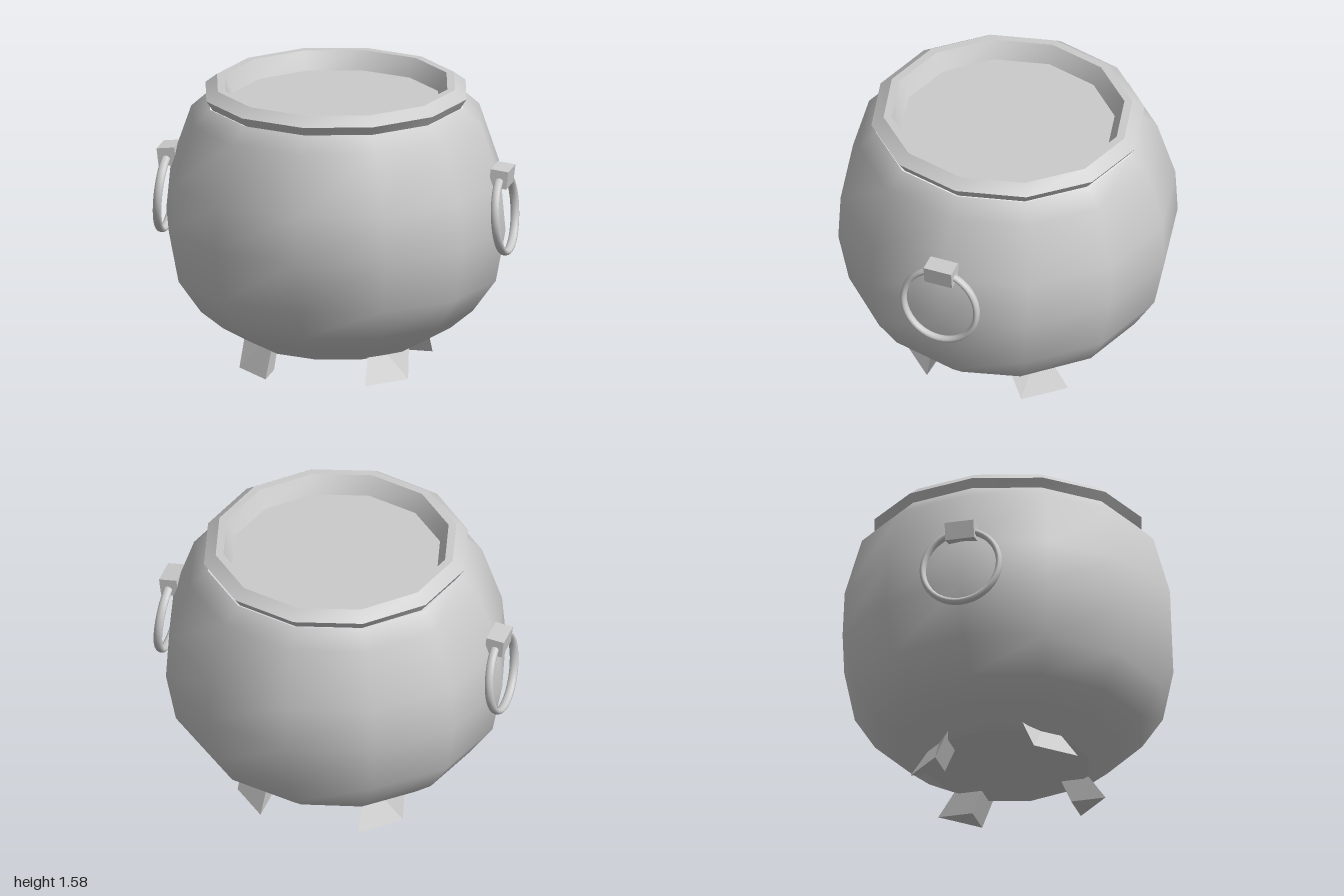
import * as THREE from 'three';
import { toCreasedNormals } from 'three/addons/utils/BufferGeometryUtils.js';

const SIDES = 12;

// Lofts elliptical rings [rx, rz, y], listed bottom to top on the outside
function loft(rings) {
  const pos = [], index = [];
  rings.forEach(([rx, rz, y], r) => {
    for (let i = 0; i < SIDES; i++) {
      const a = (i / SIDES) * Math.PI * 2;
      pos.push(rx * Math.sin(a), y, rz * Math.cos(a));
      if (r === 0) continue;
      const j = (i + 1) % SIDES, lo = (r - 1) * SIDES, hi = r * SIDES;
      index.push(lo + i, lo + j, hi + j, lo + i, hi + j, hi + i);
    }
  });
  const g = new THREE.BufferGeometry();
  g.setAttribute('position', new THREE.Float32BufferAttribute(pos, 3));
  g.setIndex(index);
  g.computeVertexNormals();
  return g;
}

// Flat twelve-sided ellipse facing up or down
function disc(rx, rz, y, up) {
  const g = new THREE.CircleGeometry(1, SIDES);
  g.rotateX(up ? -Math.PI / 2 : Math.PI / 2);
  return g.scale(rx, 1, rz).translate(0, y, 0);
}

// Splayed three-sided foot; sx and sz choose the corner
function legGeometry(sx, sz) {
  const tri = (x0, x1, z0, z1, y) => [[x0, y, z0], [x1, y, z0], [x0, y, z1]];
  const p = [...tri(0.28, 0.475, 0.28, 0.475, 0), ...tri(0.265, 0.455, 0.17, 0.3, 0.25)]
    .map(([x, y, z]) => [x * sx, y, z * sz]);
  const faces = [[0, 1, 2], [3, 5, 4]];
  for (let i = 0; i < 3; i++) {
    const j = (i + 1) % 3;
    faces.push([i, i + 3, j + 3], [i, j + 3, j]);
  }
  const pos = [];
  for (const f of faces) {
    const order = sx * sz > 0 ? f : [f[0], f[2], f[1]];
    order.forEach((k) => pos.push(...p[k]));
  }
  const g = new THREE.BufferGeometry();
  g.setAttribute('position', new THREE.Float32BufferAttribute(pos, 3));
  g.computeVertexNormals();
  return g;
}

export function createModel() {
  const model = new THREE.Group();
  const material = new THREE.MeshStandardMaterial({ color: 0xcccccc });
  const add = (name, geometry, parent = model) => {
    const mesh = new THREE.Mesh(geometry, material);
    mesh.name = name;
    parent.add(mesh);
    return mesh;
  };

  // Rounded pot, slightly wider across the handles
  add('body', loft([
    [0.47, 0.45, 0.125], [0.645, 0.62, 0.225], [0.77, 0.755, 0.33], [0.9, 0.87, 0.51],
    [0.955, 0.93, 0.8], [0.93, 0.92, 1.06], [0.815, 0.825, 1.39], [0.715, 0.73, 1.48],
  ]));
  add('bottom', disc(0.47, 0.45, 0.125, false));

  // Bevelled rim and its inner wall
  add('rim', toCreasedNormals(loft([
    [0.7, 0.715, 1.475], [0.735, 0.757, 1.53], [0.67, 0.69, 1.58],
    [0.627, 0.645, 1.58], [0.58, 0.59, 1.48],
  ]), 0.6));
  add('contents', disc(0.59, 0.6, 1.48, true));

  // Feet at the four corners
  for (const sx of [1, -1]) {
    for (const sz of [1, -1]) {
      add((sz > 0 ? 'front' : 'back') + (sx > 0 ? 'Left' : 'Right') + 'Leg', legGeometry(sx, sz));
    }
  }

  // Ring handles hanging from lugs on both sides
  for (const side of [1, -1]) {
    const handle = new THREE.Group();
    handle.name = side > 0 ? 'leftHandle' : 'rightHandle';
    handle.rotation.y = side > 0 ? 0 : Math.PI;
    const ring = add('handleRing',
      new THREE.TorusGeometry(0.217, 0.0175, 10, 40).rotateY(Math.PI / 2).scale(1.4, 1, 1), handle);
    ring.position.set(0.952, 0.9, 0);
    ring.rotation.z = 0.07;
    const lug = add('handleLug', new THREE.BoxGeometry(0.1, 0.1, 0.164), handle);
    lug.position.set(0.935, 1.112, 0);
    lug.rotation.z = -0.12;
    model.add(handle);
  }
  return model;
}
